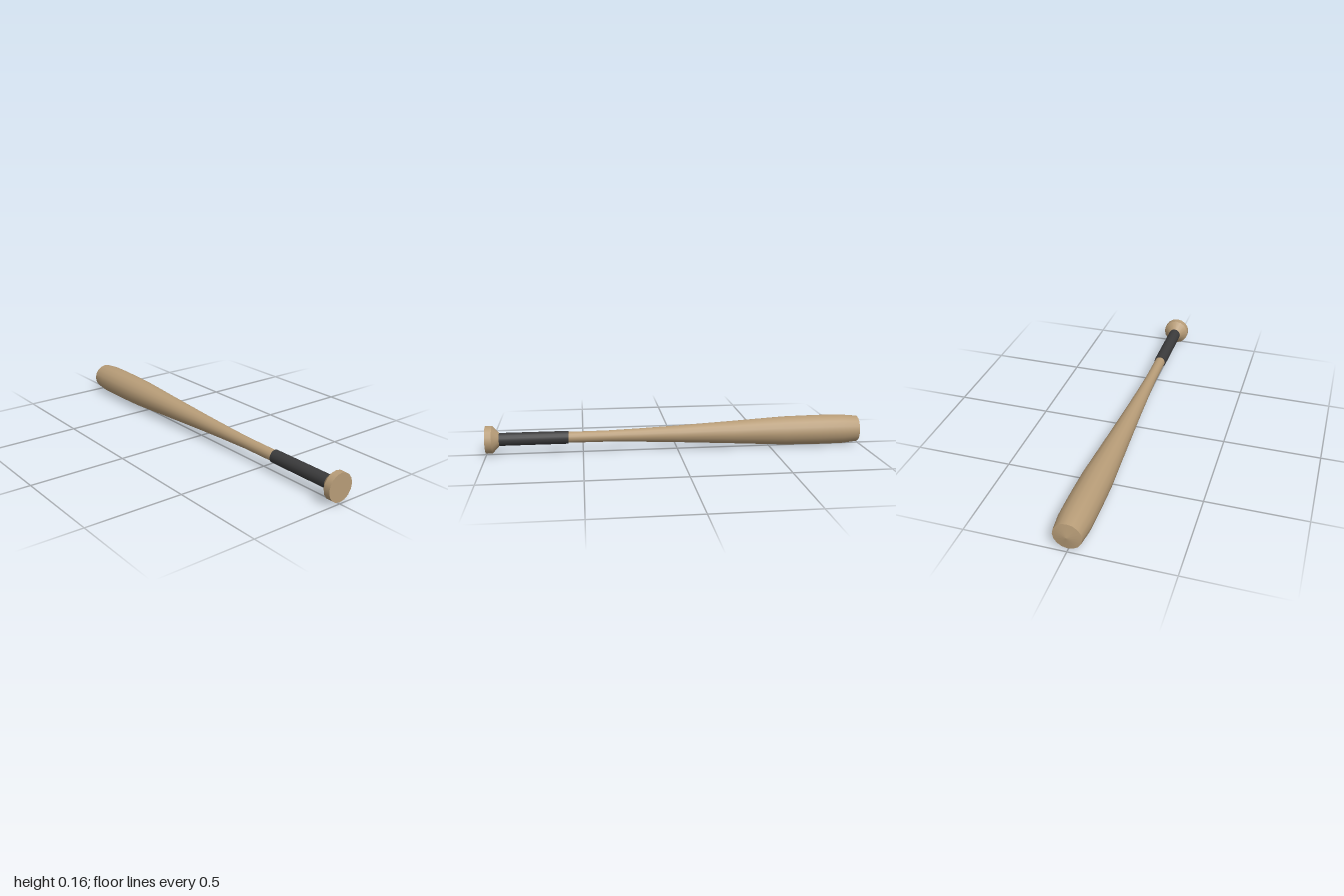
import * as THREE from 'three';

const SIDES = 16;
const AXIS_HEIGHT = 0.08;

export function createModel() {
  const model = new THREE.Group();
  model.name = 'bat';

  const wood = new THREE.MeshStandardMaterial({ color: 0xb89d78 });
  wood.name = 'wood';
  const gripTape = new THREE.MeshStandardMaterial({ color: 0x3b3b3c });
  gripTape.name = 'grip tape';

  // Turns [z, radius] pairs (rising z) into a smooth surface around the long axis.
  const turn = (name, material, profile) => {
    const points = profile.map(([z, r]) => new THREE.Vector2(r, z));
    const geometry = new THREE.LatheGeometry(points, SIDES);
    geometry.rotateX(Math.PI / 2);
    const mesh = new THREE.Mesh(geometry, material);
    mesh.name = name;
    mesh.position.y = AXIS_HEIGHT;
    model.add(mesh);
  };

  // Barrel tapering into the handle
  turn('barrelEnd', wood, [[-1, 0], [-0.988, 0.07]]);
  turn('barrel', wood, [
    [-0.988, 0.07], [-0.9, 0.079], [-0.77, 0.08], [-0.58, 0.077],
    [-0.3, 0.061], [0, 0.045], [0.2, 0.036], [0.37, 0.03], [0.58, 0.029],
  ]);

  // Wrapped grip with a small step at its edge
  turn('gripEdge', gripTape, [[0.575, 0.027], [0.5751, 0.034]]);
  turn('grip', gripTape, [[0.575, 0.034], [0.935, 0.034]]);

  // Knob: flared neck, straight rim, flat end
  turn('knobNeck', wood, [[0.93, 0.033], [0.966, 0.072]]);
  turn('knobRim', wood, [[0.966, 0.072], [1, 0.072]]);
  turn('knobEnd', wood, [[1, 0.072], [1, 0]]);

  return model;
}
